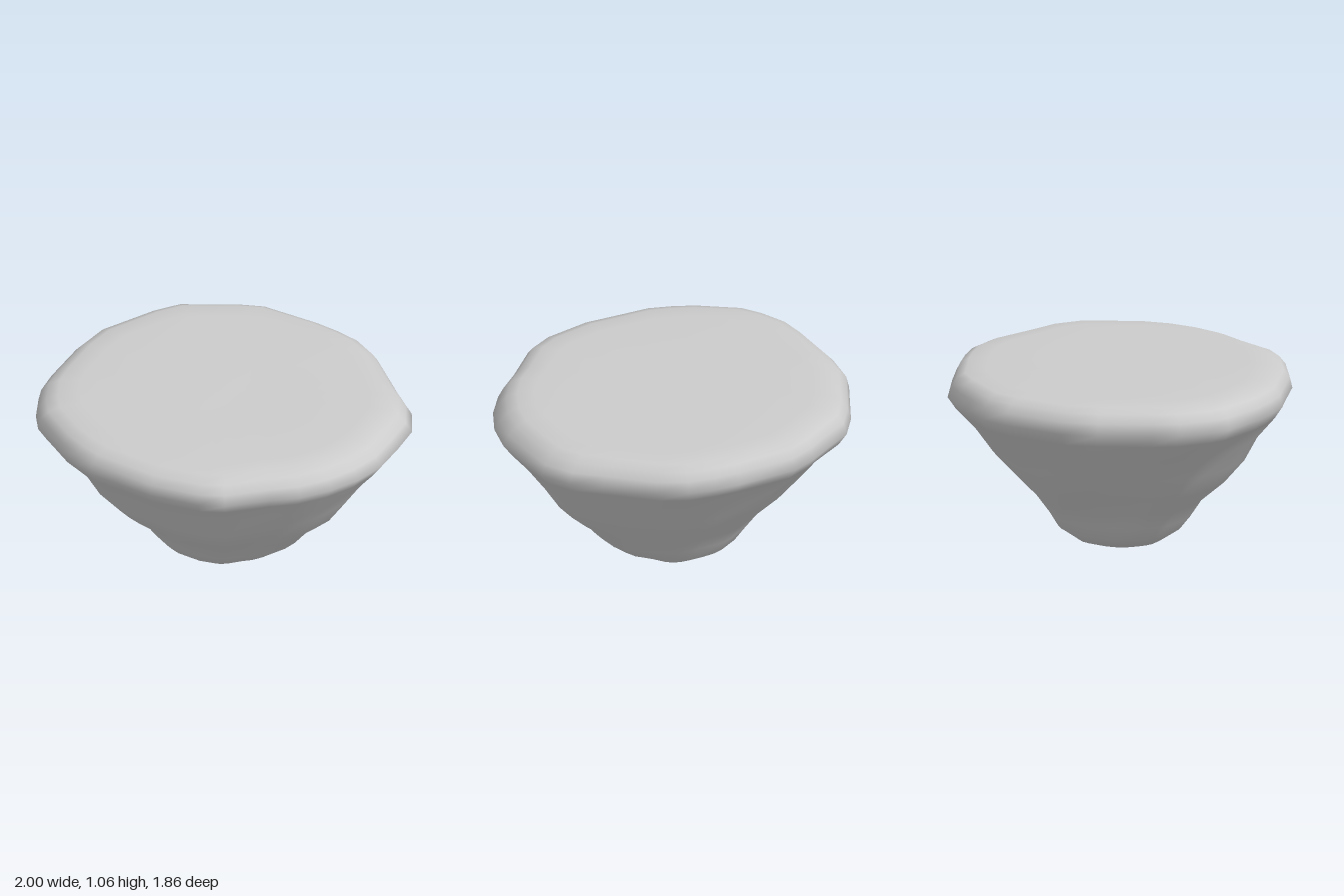
import * as THREE from 'three';

// Rim outline seen from above, as x, z pairs running from +x towards +z
const RIM = [
  1, 0, .97, .18, .9, .35, .8, .5, .68, .61, .5, .8, .37, .87, .1, .928, -.12, .925, -.29, .925,
  -.42, .89, -.55, .84, -.78, .7, -.86, .6, -.94, .45, -.97, .3, -1, 0, -.99, -.2, -.85, -.53,
  -.76, -.67, -.6, -.77, -.48, -.85, -.34, -.915, 0, -.935, .15, -.93, .3, -.91, .46, -.84,
  .7, -.65, .85, -.54, .95, -.39, .98, -.2,
];

// Each level: height, then its share of the rim radius towards +x, +z, -x, -z
const LEVELS = [
  [.03, .1, .11, .13, .14],
  [.08, .22, .26, .29, .27],
  [.14, .33, .36, .37, .36],
  [.22, .44, .43, .42, .41],
  [.32, .52, .5, .48, .49],
  [.44, .66, .64, .61, .61],
  [.58, .75, .76, .73, .74],
  [.72, .85, .84, .85, .83],
  [.84, .95, .95, .96, .95],
  [.91, 1, 1, 1, 1],
  [.97, .965, .985, .985, .975],
  [1.015, .92, .95, .945, .95],
  [1.04, .86, .88, .89, .9],
  [1.048, .76, .76, .78, .78],
  [1.05, .4, .4, .4, .4],
];

// Blend the four directional values around the axis
function blend([, px, pz, nx, nz], x, z) {
  const d = x * x + z * z;
  return ((x > 0 ? px : nx) * x * x + (z > 0 ? pz : nz) * z * z) / d;
}

function rockGeometry() {
  const n = RIM.length / 2, rings = LEVELS.length;
  const pos = [], index = [];
  LEVELS.forEach((level, j) => {
    for (let i = 0; i < n; i++) {
      const x = RIM[2 * i], z = RIM[2 * i + 1], a = Math.atan2(z, x);
      // gentle lumps on the flank only
      const flank = j > 1 && j < 8 ? 1 : 0;
      const s = blend(level, x, z) * (1 + flank * .015 * Math.sin(3 * a + 9 * level[0]) * Math.sin(2 * a));
      const y = level[0] - (j > 9 ? .006 * x : 0);
      pos.push(x * s, y, z * s);
    }
  });
  const bottom = n * rings, top = bottom + 1;
  pos.push(-.02, 0, 0, 0, 1.048, 0);
  for (let i = 0; i < n; i++) {
    const k = (i + 1) % n, last = (rings - 1) * n;
    for (let j = 0; j < rings - 1; j++) {
      const a = j * n + i, b = j * n + k;
      index.push(a, a + n, b, b, a + n, b + n);
    }
    index.push(bottom, i, k, last + i, top, last + k);
  }
  const geo = new THREE.BufferGeometry();
  geo.setAttribute('position', new THREE.Float32BufferAttribute(pos, 3));
  geo.setIndex(index);
  geo.computeVertexNormals();
  return geo;
}

export function createModel() {
  const group = new THREE.Group();
  const rock = new THREE.Mesh(rockGeometry(), new THREE.MeshStandardMaterial({ color: 0xcccccc }));
  rock.name = 'floatingRock';
  group.add(rock);
  return group;
}
